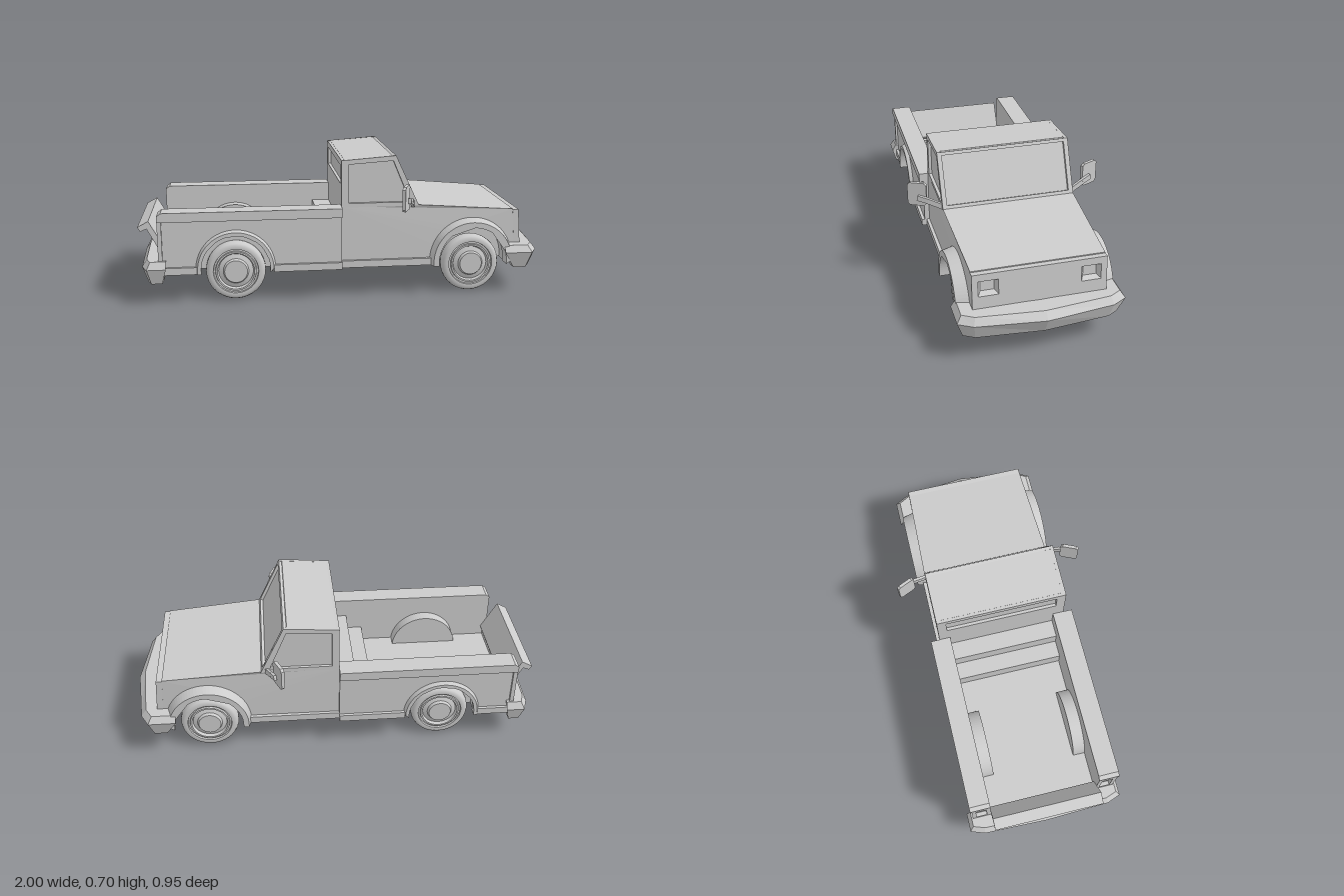
import * as THREE from 'three';

const grey = new THREE.MeshStandardMaterial({ color: 0xcccccc, flatShading: true, side: THREE.DoubleSide });
const smooth = new THREE.MeshStandardMaterial({ color: 0xcccccc, side: THREE.DoubleSide });
const poly = pts => pts.map(p => new THREE.Vector2(p[0], p[1]));
const rect = (a, b, c, d) => [[a, b], [c, b], [c, d], [a, d]];

function makeShape(pts, holes = []) {
  const s = new THREE.Shape(poly(pts));
  holes.forEach(h => s.holes.push(new THREE.Path(poly(h))));
  return s;
}

// Side silhouette pushed across the vehicle between two z values
function slab(shape, z0, z1) {
  const lo = Math.min(z0, z1);
  return new THREE.ExtrudeGeometry(shape, { depth: Math.abs(z1 - z0), bevelEnabled: false, curveSegments: 20 }).translate(0, 0, lo);
}

// Cross-wise panel (points are z, y) whose outer face passes through x, y
function panel(shape, depth, x, y, tilt = 0) {
  return new THREE.ExtrudeGeometry(shape, { depth, bevelEnabled: false })
    .translate(0, 0, -depth).rotateY(Math.PI / 2).rotateZ(tilt).translate(x, y, 0);
}

// Lower outline with a wheel arch cut from its bottom edge
function archedShape(top, cx, cy, r) {
  const s = new THREE.Shape(poly(top));
  s.lineTo(cx + r, 0.15);
  s.absarc(cx, cy, r, 0, Math.PI, false);
  s.lineTo(cx - r, 0.15);
  return s;
}

// The bonnet narrows slightly towards the nose
function taper(geo) {
  const p = geo.attributes.position;
  for (let i = 0; i < p.count; i++) {
    const k = Math.max(0, p.getX(i) - 0.36) / 0.5;
    p.setZ(i, p.getZ(i) * (1 - 0.05 * k));
  }
  return geo;
}

// Bumper swept through stations [outer x, outer z, inner x, inner z, lower edge shift]
function bumper(half, profile) {
  const stations = [...half, ...half.slice(0, -1).reverse().map(([a, b, c, d, e]) => [a, -b, c, -d, e])];
  const low = Math.min(...profile.map(p => p[1]));
  const rings = stations.map(([ox, oz, ix, iz, e]) => profile.map(([t, y]) =>
    [ox + (ix - ox) * t + (y === low ? e : 0), y, oz + (iz - oz) * t]));
  const pos = [], n = profile.length;
  const tri = (...v) => v.forEach(q => pos.push(...q));
  for (let i = 0; i < rings.length - 1; i++) for (let j = 0; j < n; j++) {
    const k = (j + 1) % n, a = rings[i], b = rings[i + 1];
    tri(a[j], b[j], b[k]);
    tri(a[j], b[k], a[k]);
  }
  const last = rings[rings.length - 1];
  for (let j = 1; j < n - 1; j++) {
    tri(rings[0][0], rings[0][j], rings[0][j + 1]);
    tri(last[0], last[j + 1], last[j]);
  }
  const g = new THREE.BufferGeometry();
  g.setAttribute('position', new THREE.Float32BufferAttribute(pos, 3));
  g.computeVertexNormals();
  return g;
}

// Arch trim whose outside edge slopes in towards its face
function flare(cx, cy, outer, inner, z0, z1) {
  const s = new THREE.Shape();
  s.moveTo(cx + outer, 0.15);
  s.absarc(cx, cy, outer, 0, Math.PI, false);
  s.lineTo(cx - outer, 0.15);
  s.lineTo(cx - inner, 0.15);
  s.absarc(cx, cy, inner, Math.PI, 0, true);
  s.lineTo(cx + inner, 0.15);
  const g = slab(s, z0, z1), p = g.attributes.position;
  for (let i = 0; i < p.count; i++) {
    const dx = p.getX(i) - cx, dy = Math.max(0, p.getY(i) - cy), d = Math.hypot(dx, dy);
    if (Math.abs(p.getZ(i)) > Math.abs(z1) - 0.001 && d > (outer + inner) / 2) {
      const k = (outer - 0.018) / outer;
      p.setX(i, cx + dx * k);
      if (dy > 0) p.setY(i, cy + dy * k);
    }
  }
  return g;
}

export function createModel() {
  const root = new THREE.Group();
  const add = (name, geo, mat = grey) => {
    const m = new THREE.Mesh(geo, mat);
    m.name = name;
    root.add(m);
    return m;
  };
  const box = (name, x0, x1, y0, y1, z0, z1) => add(name, new THREE.BoxGeometry(x1 - x0, y1 - y0, Math.abs(z1 - z0))
    .translate((x0 + x1) / 2, (y0 + y1) / 2, (z0 + z1) / 2));
  const FX = 0.63, RX = -0.535, AY = 0.17;

  // Lower cab and bonnet
  const lower = [[-0.02, 0.15], [-0.02, 0.455], [0.36, 0.455], [0.842, 0.417], [0.862, 0.15]];
  add('centreBody', taper(slab(makeShape(lower), -0.24, 0.24)));

  // Cab core, with window frames standing proud of it
  add('cabCore', slab(makeShape([[-0.005, 0.4], [0.369, 0.4], [0.229, 0.698], [-0.005, 0.681]]), -0.31, 0.31));
  const lean = Math.atan2(0.115, 0.245), len = Math.hypot(0.115, 0.245);
  add('windscreenFrame', panel(makeShape(rect(-0.312, 0, 0.312, len), [rect(-0.303, 0.016, 0.303, len - 0.016)]), 0.018, 0.36, 0.455, lean));
  add('rearWindowFrame', panel(makeShape(rect(-0.312, 0.4, 0.312, 0.68), [rect(-0.28, 0.56, 0.28, 0.65)]), 0.015, -0.005, 0));

  // Nose with headlight recesses
  const lamp = s => rect(s * 0.19, 0.155, s * 0.282, 0.23);
  add('nosePanel', panel(makeShape(rect(-0.31, 0, 0.31, 0.265), [lamp(1), lamp(-1)]), 0.03, 0.89, 0.15, 0.075));

  // Cargo bed floor and steps behind the cab
  box('bedFloor', -0.88, -0.02, 0.15, 0.2, -0.27, 0.27);
  box('lowerStep', -0.195, -0.02, 0.2, 0.28, -0.27, 0.27);
  box('upperStep', -0.11, -0.02, 0.28, 0.36, -0.27, 0.27);

  // Half-open tailgate with a folded lip
  add('tailgate', slab(makeShape([[-0.89, 0.23], [-0.868, 0.25], [-0.948, 0.395], [-1, 0.367],
    [-0.987, 0.345], [-0.957, 0.358]]), -0.27, 0.27));

  add('frontBumper', bumper([[0.79, 0.388, 0.79, 0.31, 0.05], [0.925, 0.388, 0.86, 0.31, 0],
    [0.962, 0.32, 0.875, 0.29, 0], [1, 0, 0.885, 0, 0]],
  [[0.28, 0.245], [0, 0.212], [0.35, 0.13], [1, 0.13], [1, 0.245]]));
  add('rearBumper', bumper([[-0.865, 0.388, -0.865, 0.3, -0.02], [-0.955, 0.388, -0.88, 0.3, 0],
    [-0.98, 0.32, -0.88, 0.29, 0], [-0.99, 0, -0.88, 0, 0]],
  [[0.22, 0.22], [0, 0.185], [0.25, 0.11], [1, 0.11], [1, 0.22]]));

  // Tyre section and stepped hub (radius, offset across the wheel)
  const tyre = poly([[0.105, -0.036], [0.125, -0.038], [0.137, -0.03], [0.144, -0.015], [0.145, 0],
    [0.144, 0.015], [0.137, 0.03], [0.125, 0.038], [0.11, 0.036]]);
  const hub = poly([[0, -0.03], [0.105, -0.036], [0.11, 0.036], [0.108, 0.026], [0.1, 0.026], [0.098, 0.036],
    [0.09, 0.036], [0.084, 0.02], [0.062, 0.028], [0.055, 0.042], [0, 0.042]]);

  for (const s of [1, -1]) {
    // Front wing and door side, arch trim and sill
    add('cabSide', taper(slab(archedShape(lower, FX, AY, 0.175), s * 0.24, s * 0.325)));
    add('sideWindowFrame', slab(makeShape([[-0.02, 0.45], [0.362, 0.45], [0.245, 0.7], [-0.02, 0.68]],
      [[[0.015, 0.47], [0.318, 0.47], [0.232, 0.675], [0.015, 0.66]]]), s * 0.308, s * 0.325));
    add('frontArch', flare(FX, AY, 0.215, 0.17, s * 0.3, s * 0.37));
    box('cabSill', -0.02, FX - 0.2, 0.15, 0.185, s * 0.32, s * 0.34);

    // Headlight funnel and lens
    const funnel = new THREE.CylinderGeometry(Math.SQRT1_2, 0.48, 1, 4, 1, true).rotateY(Math.PI / 4)
      .rotateZ(-Math.PI / 2).scale(0.025, 0.075, 0.092).rotateZ(0.075).translate(0.862, 0.343, s * 0.236);
    add('headlightRecess', funnel);

    // Bed side, rail, rear post, arch trim and inner wheel housing
    const side = [[-0.88, 0.15], [-0.88, 0.42], [-0.02, 0.42], [-0.02, 0.15]];
    add('bedSide', slab(archedShape(side, RX, AY, 0.17), s * 0.27, s * 0.35));
    add('bedRail', slab(makeShape([[-0.9, 0.41], [-0.9, 0.44], [-0.88, 0.455], [-0.02, 0.455], [-0.02, 0.41]]), s * 0.27, s * 0.37));
    add('rearPost', panel(makeShape(rect(s * -0.27, 0.2, s * -0.362, 0.412),
      [rect(s * -0.29, 0.24, s * -0.342, 0.395)]), 0.02, -0.88, 0));
    add('rearArch', flare(RX, AY, 0.2, 0.165, s * 0.33, s * 0.37));
    box('bedSillFront', RX + 0.185, -0.02, 0.15, 0.185, s * 0.34, s * 0.365);
    box('bedSillRear', -0.88, RX - 0.185, 0.15, 0.185, s * 0.34, s * 0.365);
    const housing = new THREE.Shape();
    housing.moveTo(RX + 0.172, 0.152);
    housing.absarc(RX, AY + 0.015, 0.172, 0, Math.PI, false);
    housing.lineTo(RX - 0.172, 0.152);
    add('wheelHousing', slab(housing, s * 0.21, s * 0.272));

    // Wheels
    for (const [x, label] of [[FX, 'front'], [RX, 'rear']]) {
      const wheel = new THREE.Group();
      wheel.name = label + 'Wheel';
      const t = new THREE.Mesh(new THREE.LatheGeometry(tyre, 36), smooth);
      t.name = 'tyre';
      const h = new THREE.Mesh(new THREE.LatheGeometry(hub, 36), grey);
      h.name = 'hub';
      wheel.add(t, h);
      wheel.rotation.x = s * Math.PI / 2;
      wheel.position.set(x, 0.147, s * 0.288);
      root.add(wheel);
    }

    // Door mirror on a bent arm
    const arm = [[0.335, 0.455, 0.315], [0.312, 0.487, 0.39], [0.295, 0.498, 0.43]].map(p => new THREE.Vector3(p[0], p[1], s * p[2]));
    for (let i = 0; i < 2; i++) {
      const m = add('mirrorArm', new THREE.BoxGeometry(0.014, 0.026, arm[i].distanceTo(arm[i + 1]) + 0.008));
      m.position.copy(arm[i]).lerp(arm[i + 1], 0.5);
      m.lookAt(arm[i + 1]);
    }
    const c = 0.012, w = 0.046, h = 0.06;
    const face = makeShape([[-w + c, -h], [w - c, -h], [w, -h + c], [w, h - c], [w - c, h], [-w + c, h], [-w, h - c], [-w, -h + c]]);
    const plate = add('mirror', panel(face, 0.016, 0.008, 0));
    plate.rotation.y = s * -0.42;
    plate.position.set(0.276, 0.512, s * 0.431);
  }
  return root;
}
